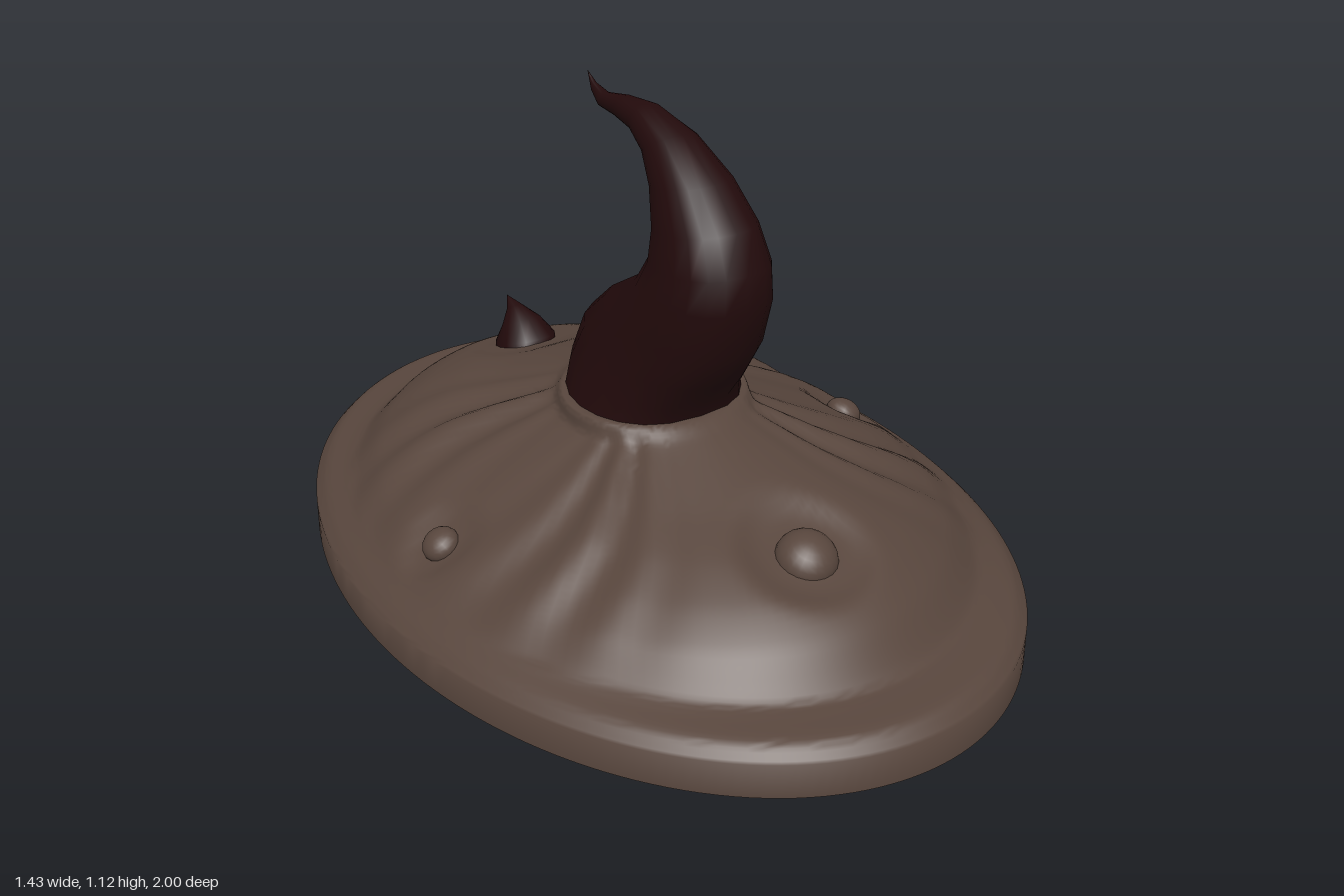
import * as THREE from 'three';
import { toCreasedNormals } from 'three/addons/utils/BufferGeometryUtils.js';

const wood = new THREE.MeshStandardMaterial({ color: 0x58463d });
wood.name = 'brown hide';
const hornMat = new THREE.MeshStandardMaterial({ color: 0x220a0b });
hornMat.name = 'dark horn';

// Skin a stack of closed rings: point(row, angle) gives [x, y, z]
function loft(rows, sides, point) {
  const pos = [], idx = [];
  for (let i = 0; i < rows; i++)
    for (let j = 0; j < sides; j++) pos.push(...point(i, (j / sides) * Math.PI * 2));
  for (let i = 0; i < rows - 1; i++)
    for (let j = 0; j < sides; j++) {
      const a = i * sides + j, b = i * sides + ((j + 1) % sides);
      idx.push(a, a + sides, b, b, a + sides, b + sides);
    }
  const g = new THREE.BufferGeometry();
  g.setAttribute('position', new THREE.Float32BufferAttribute(pos, 3));
  g.setIndex(idx);
  g.computeVertexNormals();
  return g;
}

// Horn from sections: front z, front y, back z, back y, half width
function hornGeometry(sections, sides) {
  return loft(sections.length, sides, (i, a) => {
    const [zf, yf, zb, yb, w] = sections[i];
    const m = (1 + Math.sin(a)) / 2, c = Math.cos(a);
    return [w * Math.sign(c) * Math.abs(c) ** 0.78, yb + (yf - yb) * m, zb + (zf - zb) * m];
  });
}

// Shield rings: half width in x, its height, half length in z, its height
const underside = [
  [0, 0.222, 0, 0.222], [0.15, 0.218, 0.2, 0.218], [0.32, 0.2, 0.45, 0.2], [0.5, 0.165, 0.7, 0.165],
  [0.61, 0.12, 0.86, 0.12], [0.66, 0.07, 0.93, 0.07], [0.685, 0.04, 0.96, 0.04], [0.715, 0.04, 1, 0.04],
];
const topside = [
  [0.715, 0.115, 1, 0.12], [0.69, 0.14, 0.965, 0.15], [0.655, 0.165, 0.89, 0.157],
  [0.63, 0.185, 0.85, 0.168], [0.58, 0.225, 0.78, 0.245], [0.51, 0.268, 0.7, 0.3],
  [0.42, 0.315, 0.6, 0.342], [0.33, 0.36, 0.46, 0.378], [0.26, 0.395, 0.33, 0.42],
  [0.218, 0.42, 0.25, 0.448], [0.21, 0.46, 0.2, 0.468], [0.17, 0.46, 0.16, 0.462],
];

function shieldGeometry() {
  const spline = (k) => new THREE.CatmullRomCurve3(
    topside.map((r) => new THREE.Vector3(r[k], r[k + 1], 0)), false, 'catmullrom', 0.4);
  const sx = spline(0), sz = spline(2), n = 60;
  const rows = underside.map((r) => [...r, -1]);
  for (let i = 0; i <= n; i++) {
    const p = sx.getPoint(i / n), q = sz.getPoint(i / n);
    rows.push([p.x, p.y, q.x, q.y, i / n]);
  }
  const g = loft(rows.length, 160, (i, a) => {
    const [rx, yx, rz, yz, t] = rows[i];
    const c = Math.cos(a), s = Math.sin(a), x = rx * c, z = rz * s;
    let y = yx + (yz - yx) * s * s;
    if (t > 0.2 && t < 0.9) {
      // Radial folds fanning out from the collar, bending towards the sides
      const f = THREE.MathUtils.radToDeg(Math.atan2(Math.abs(s), Math.abs(c))) + 26 * (0.8 - t);
      const fade = Math.sin(((t - 0.2) / 0.7) * Math.PI);
      y += 0.013 * fade * Math.exp(-(((f - 36) / 18) ** 2)) * Math.cos((f - 36) * 0.4);
      // Dishes around the studs and the thorn
      const d = Math.hypot(x, Math.abs(z) - 0.575) / 0.135, e = Math.hypot(Math.abs(x) - 0.55, z) / 0.08;
      y -= (z > 0 ? 0.032 : 0.015) * Math.exp(-(d ** 6)) + 0.018 * Math.exp(-(e ** 6));
    }
    return [x, y, z];
  });
  return toCreasedNormals(g, 0.8);
}

export function createModel() {
  const group = new THREE.Group();
  const add = (name, geometry, material, x = 0, y = 0, z = 0) => {
    const m = new THREE.Mesh(geometry, material);
    m.name = name;
    m.position.set(x, y, z);
    group.add(m);
    return m;
  };

  add('shieldBody', shieldGeometry(), wood);

  // Great curved horn
  add('mainHorn', hornGeometry([
    [0.185, 0.44, -0.19, 0.44, 0.198], [0.2, 0.5, -0.19, 0.53, 0.178],
    [0.26, 0.57, -0.165, 0.62, 0.156], [0.32, 0.66, -0.09, 0.69, 0.142],
    [0.354, 0.78, 0.03, 0.765, 0.13], [0.35, 0.86, 0.075, 0.83, 0.12],
    [0.31, 0.94, 0.08, 0.9, 0.105], [0.23, 1.02, 0.055, 0.98, 0.084],
    [0.11, 1.09, 0.01, 1.03, 0.06], [-0.02, 1.12, -0.05, 1.053, 0.04],
    [-0.11, 1.112, -0.13, 1.06, 0.027], [-0.19, 1.095, -0.205, 1.06, 0.016],
    [-0.235, 1.105, -0.24, 1.082, 0.008], [-0.265, 1.125, -0.265, 1.125, 0],
  ], 20), hornMat);

  // Small thorn at the back
  add('backThorn', hornGeometry([
    [-0.505, 0.31, -0.65, 0.26, 0.072], [-0.51, 0.36, -0.65, 0.32, 0.073],
    [-0.56, 0.395, -0.637, 0.36, 0.048], [-0.615, 0.412, -0.645, 0.392, 0.02],
    [-0.667, 0.42, -0.667, 0.42, 0],
  ], 16), hornMat);

  // Studs on the face, tilted with the slope
  const frontStud = add('frontStud', new THREE.SphereGeometry(0.068, 20, 14), wood, 0, 0.308, 0.578);
  frontStud.scale.y = 0.82;
  frontStud.rotation.x = 0.4;
  for (const s of [1, -1]) {
    const stud = add(s > 0 ? 'leftStud' : 'rightStud', new THREE.SphereGeometry(0.043, 16, 12), wood, s * 0.55, 0.228, 0);
    stud.scale.y = 0.75;
    stud.rotation.z = -s * 0.55;
  }

  // Rivets on the underside
  for (const [z, r, y] of [[-0.47, 0.04, 0.196], [0, 0.055, 0.22], [0.47, 0.04, 0.196]])
    add('rivet', new THREE.SphereGeometry(r, 16, 10), wood, 0, y, z).scale.y = 0.5;

  // Curved grip held by two flared sockets
  const grip = [-0.25, -0.22, -0.15, -0.07, 0, 0.07, 0.15, 0.22, 0.25].map(
    (x) => new THREE.Vector3(x, 0.042 + 1.25 * x * x, 0));
  add('grip', new THREE.TubeGeometry(new THREE.CatmullRomCurve3(grip), 32, 0.041, 12), hornMat);
  for (const s of [1, -1]) {
    const socket = add(s > 0 ? 'leftSocket' : 'rightSocket',
      new THREE.CylinderGeometry(0.105, 0.065, 0.13, 10), wood, s * 0.245, 0.155, 0);
    socket.rotation.z = -s * 0.4;
  }
  return group;
}
